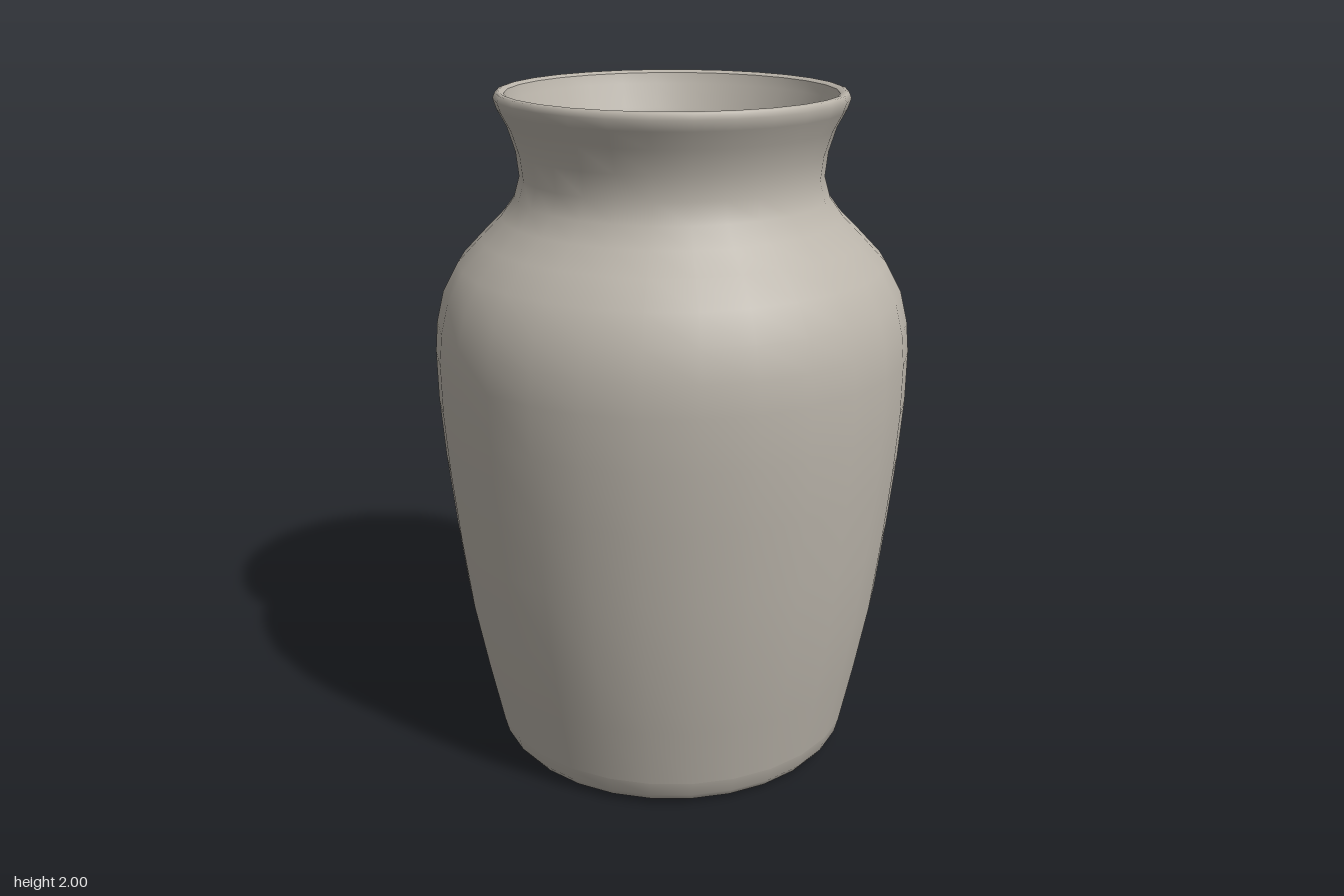
import * as THREE from 'three';

const clay = new THREE.MeshStandardMaterial({ color: 0xbab4aa });
clay.name = 'warm grey clay';

// Turns a radius/height profile into a mesh; rising points face outward.
function turned(name, profile) {
  const points = profile.map(([r, y]) => new THREE.Vector2(r, y));
  const mesh = new THREE.Mesh(new THREE.LatheGeometry(points, 28), clay);
  mesh.name = name;
  return mesh;
}

export function createModel() {
  const vase = new THREE.Group();
  vase.name = 'vase';

  // Underside with a shallow recess inside the foot ring
  vase.add(turned('foot', [
    [0, 0.03], [0.32, 0.03], [0.37, 0.015], [0.42, 0.002], [0.48, 0],
    [0.52, 0.01], [0.54, 0.035], [0.552, 0.08],
  ]));

  // Tapered body, rounded shoulder, waisted neck and rolled lip
  vase.add(turned('body', [
    [0.552, 0.08], [0.592, 0.27], [0.632, 0.48], [0.66, 0.7], [0.683, 0.92],
    [0.696, 1.1], [0.698, 1.25], [0.69, 1.34], [0.668, 1.43], [0.622, 1.515],
    [0.555, 1.585], [0.495, 1.645], [0.455, 1.7], [0.438, 1.76], [0.446, 1.83],
    [0.468, 1.9], [0.495, 1.95], [0.505, 1.98], [0.498, 1.997], [0.488, 2],
    [0.474, 1.992],
  ]));

  // Hollow inside, from the lip down to the floor
  vase.add(turned('interior', [
    [0.474, 1.992], [0.465, 1.96], [0.435, 1.89], [0.41, 1.82], [0.403, 1.76],
    [0.42, 1.69], [0.465, 1.62], [0.525, 1.56], [0.59, 1.49], [0.635, 1.41],
    [0.656, 1.32], [0.662, 1.2], [0.65, 0.95], [0.625, 0.7], [0.595, 0.48],
    [0.555, 0.27], [0.515, 0.1], [0.48, 0.07], [0.42, 0.06], [0, 0.06],
  ]));

  return vase;
}
